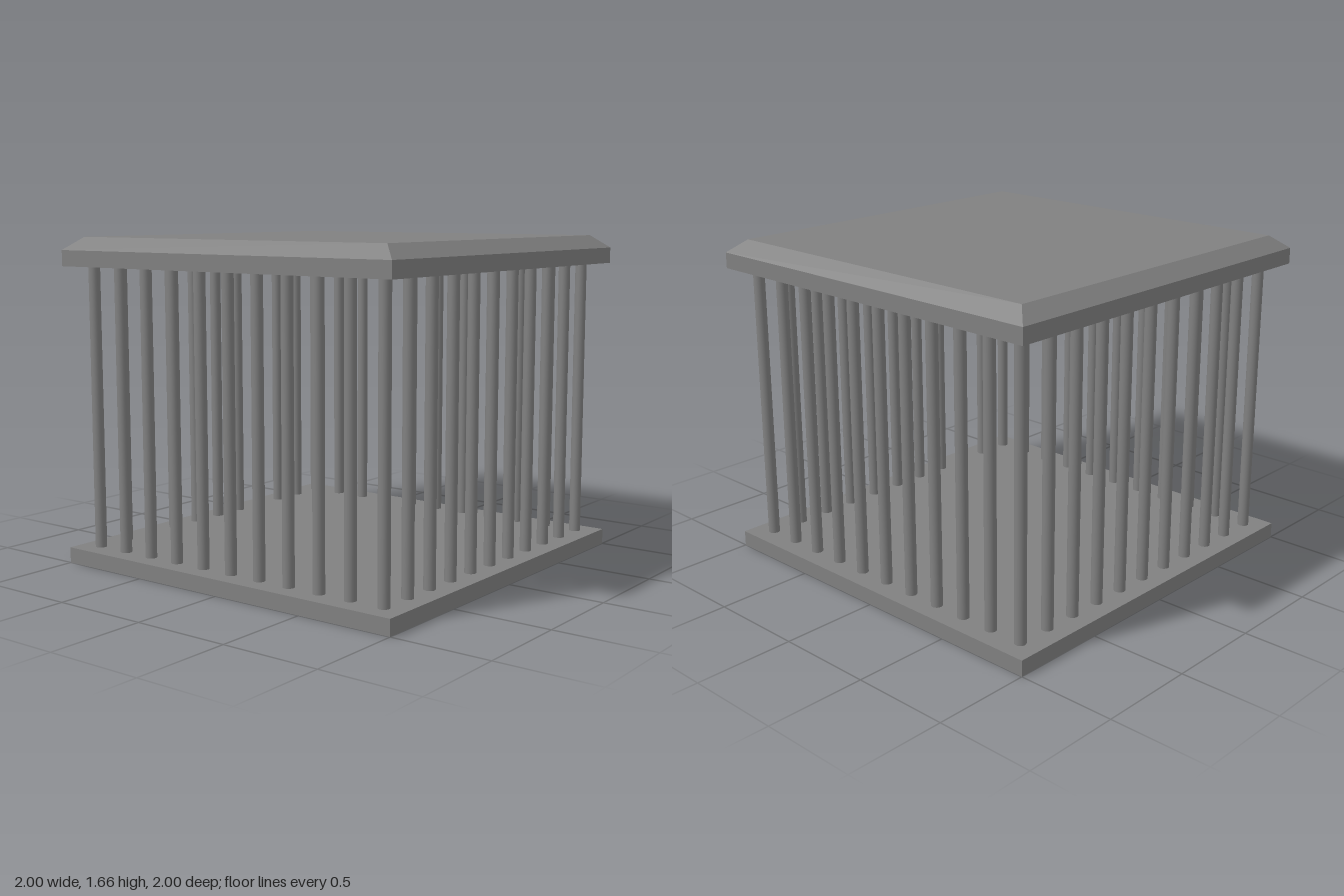
import * as THREE from 'three';

export function createModel() {
  const group = new THREE.Group();
  const grey = new THREE.MeshStandardMaterial({ color: 0x808080 });
  grey.name = 'grey';

  const add = (name, geometry, x, y, z) => {
    const mesh = new THREE.Mesh(geometry, grey);
    mesh.name = name;
    mesh.position.set(x, y, z);
    group.add(mesh);
  };

  // Floor and roof slabs
  const slab = new THREE.BoxGeometry(2, 0.08, 2);
  add('floor', slab, 0, 0.04, 0);
  add('roofSlab', slab, 0, 1.555, 0);

  // Bevelled roof top: a box with its upper corners drawn inwards
  const bevel = new THREE.BoxGeometry(2, 0.065, 2);
  const p = bevel.attributes.position;
  for (let i = 0; i < p.count; i++) {
    if (p.getY(i) > 0) {
      p.setX(i, p.getX(i) * 0.92);
      p.setZ(i, p.getZ(i) * 0.92);
    }
  }
  bevel.computeVertexNormals();
  add('roofBevel', bevel, 0, 1.6275, 0);

  // Round bars along all four sides, one at each corner
  const edge = 0.889;
  const step = 0.1765;
  const bar = new THREE.CylinderGeometry(0.029, 0.029, 1.435, 24, 1, true);
  const addBar = (name, x, z) => add(name, bar, x, 0.7975, z);
  for (const side of [-1, 1]) {
    for (let i = -4; i <= 4; i++) {
      addBar(side > 0 ? 'frontBar' : 'backBar', i * step, side * edge);
      addBar(side > 0 ? 'leftBar' : 'rightBar', side * edge, i * step);
    }
    for (const end of [-1, 1]) addBar('cornerBar', side * edge, end * edge);
  }

  return group;
}
